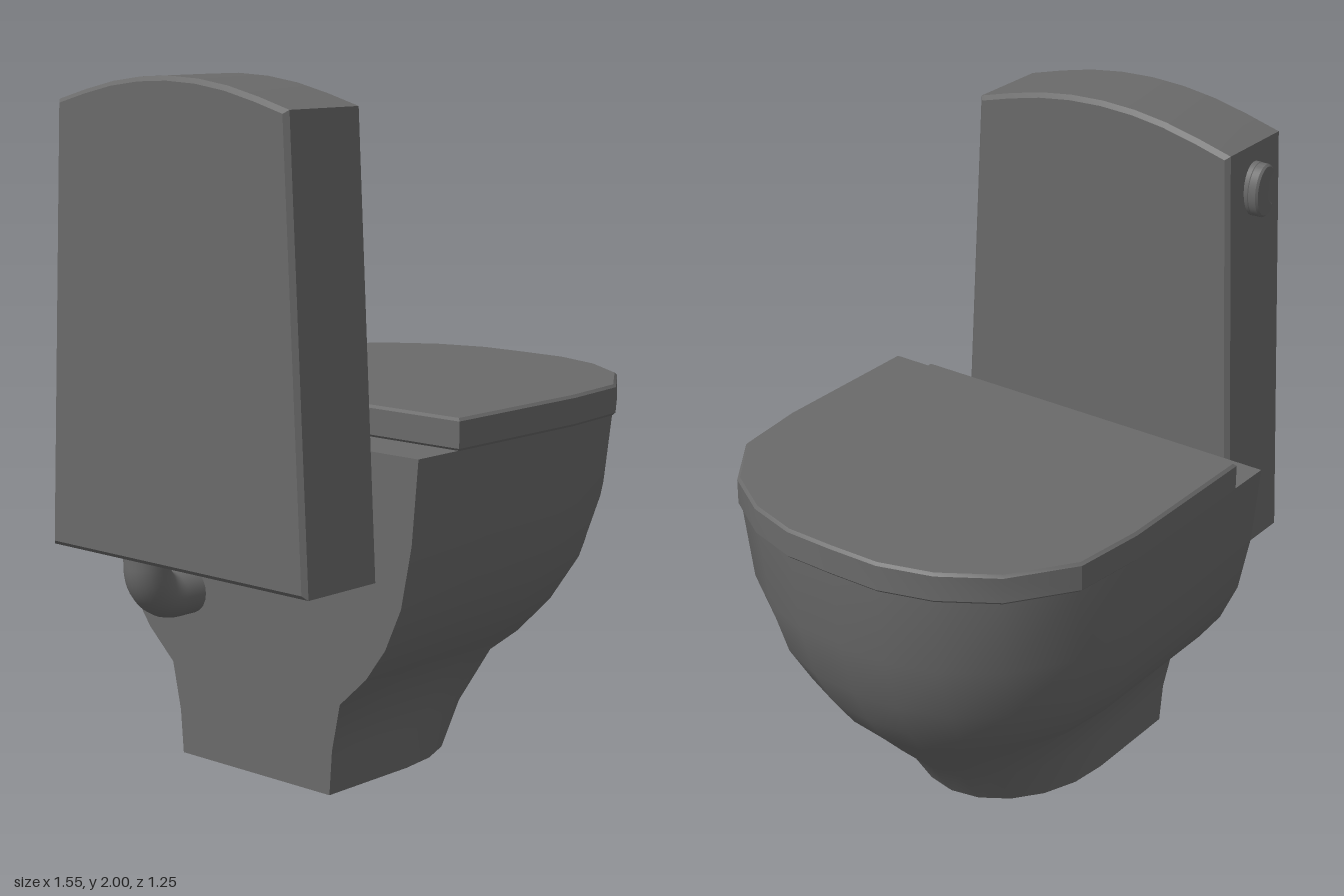
import * as THREE from 'three';
import { toCreasedNormals } from 'three/addons/utils/BufferGeometryUtils.js';

const dark = new THREE.MeshStandardMaterial({ color: 0x6a6a6a });
const darkOpen = new THREE.MeshStandardMaterial({ color: 0x6a6a6a, side: THREE.DoubleSide });

const BACK = -0.46, FRONT = 0.765, HALF = 0.62, BEND = 0.21;
// Half plan of the rim, from the side to the front tip: [x, z]
const CURVE = [[BEND, 0.62], [0.435, 0.595], [0.615, 0.468], [0.715, 0.313], [0.762, 0.155]];

// Full D-shaped plan from the back at -z, round the front, to the back at +z.
// round = 0 keeps the rim curve, round = 1 turns the front into a half ellipse.
function plan(back, round = 0) {
  const start = BEND - 0.1 * round;
  const curve = CURVE.map(([x, z], i) => {
    const a = (i / CURVE.length) * Math.PI / 2;
    const ex = start + (FRONT - start) * Math.sin(a);
    return [x + (ex - x) * round, z + (HALF * Math.cos(a) - z) * round];
  });
  const side = [[back, HALF], [(back + start) / 2, HALF], ...curve];
  return [...side.map(([x, z]) => [x, -z]), [FRONT, 0], ...side.reverse()];
}

// Levels of the bowl body: [y, half width, front x, roundness of the plan]
const LEVELS = [
  [0, 0.293, 0.248, 1], [0.13, 0.303, 0.338, 1], [0.27, 0.333, 0.48, 0.9], [0.36, 0.43, 0.567, 0.7],
  [0.455, 0.5, 0.63, 0.5], [0.58, 0.557, 0.692, 0.3], [0.76, 0.594, 0.743, 0.1], [1.0, 0.617, 0.763, 0],
];

function section([y, w, front, round]) {
  const f = (front - BACK) / (FRONT - BACK);
  return plan(BACK, round).map(([x, z]) => new THREE.Vector3(BACK + (x - BACK) * f, y, z * w / HALF));
}

function addMesh(group, name, geometry, material = dark) {
  const mesh = new THREE.Mesh(geometry, material);
  mesh.name = name;
  group.add(mesh);
}

function bevelled(shape, depth, bevel, crease = 0.5) {
  const geo = new THREE.ExtrudeGeometry(shape, {
    depth: depth - 2 * bevel, bevelSize: bevel, bevelThickness: bevel,
    bevelOffset: -bevel, bevelSegments: 1, curveSegments: 16,
  });
  geo.translate(0, 0, bevel);
  return toCreasedNormals(geo, crease);
}

const shapeOf = (points) => new THREE.Shape(points.map(([x, y]) => new THREE.Vector2(x, y)));

// Curved skin lofted through the levels, open underneath
function bowlSkin() {
  const rows = LEVELS.map(section);
  const n = rows[0].length;
  const index = [];
  for (let r = 0; r < rows.length - 1; r++) {
    for (let i = 0; i < n - 1; i++) {
      const a = r * n + i, b = a + 1, c = a + n, d = c + 1;
      index.push(a, c, b, b, c, d);
    }
  }
  const geo = new THREE.BufferGeometry().setFromPoints(rows.flat());
  geo.setIndex(index);
  geo.computeVertexNormals();
  return geo;
}

export function createModel() {
  const model = new THREE.Group();
  model.name = 'toilet';

  // Bowl: skin, flat back wall and top
  const bowl = new THREE.Group();
  bowl.name = 'bowl';
  model.add(bowl);
  addMesh(bowl, 'bowlBody', bowlSkin(), darkOpen);

  const wall = [...LEVELS.map(([y, w]) => [w, y]), ...LEVELS.map(([y, w]) => [-w, y]).reverse()];
  const backWall = new THREE.ShapeGeometry(shapeOf(wall));
  backWall.rotateY(-Math.PI / 2).translate(BACK, 0, 0);
  addMesh(bowl, 'bowlBack', backWall, darkOpen);

  const rim = section(LEVELS[LEVELS.length - 1]);
  const top = new THREE.ShapeGeometry(shapeOf(rim.map((p) => [p.x, -p.z])));
  top.rotateX(-Math.PI / 2).translate(0, 1.0, 0);
  addMesh(bowl, 'bowlTop', top, darkOpen);

  // Closed lid resting on the rim
  const lid = bevelled(shapeOf(plan(-0.3)), 0.091, 0.008);
  lid.rotateX(-Math.PI / 2).scale(1.008, 1, 1.009).translate(0, 0.999, 0);
  addMesh(model, 'lid', lid);

  // Tapered tank with an arched top
  const tankShape = shapeOf([
    [-0.5, 0.652], [0.5, 0.652], [0.44, 1.925], [0.33, 1.955], [0.22, 1.98], [0.11, 1.995],
    [0, 2.0], [-0.11, 1.995], [-0.22, 1.98], [-0.33, 1.955], [-0.44, 1.925],
  ]);
  const tank = bevelled(tankShape, 0.288, 0.013, 0.3);
  tank.rotateY(Math.PI / 2).translate(-0.775, 0, 0);
  addMesh(model, 'tank', tank);

  // Oval flush button on the tank side, with a raised crescent for the finger
  const oval = new THREE.Shape().absellipse(0, 0, 0.058, 0.081, 0, Math.PI * 2);
  const base = bevelled(oval, 0.04, 0.006);
  base.rotateY(Math.PI).translate(-0.628, 1.793, -0.424);
  addMesh(model, 'flushButtonBase', base);

  const tip = 0.7;
  const crescent = new THREE.Shape().absellipse(0, 0, 0.056, 0.08, tip, Math.PI * 2 - tip);
  crescent.quadraticCurveTo(-0.03, 0, 0.056 * Math.cos(tip), 0.08 * Math.sin(tip));
  const grip = bevelled(crescent, 0.035, 0.006);
  grip.rotateY(Math.PI).translate(-0.628, 1.793, -0.454);
  addMesh(model, 'flushButtonGrip', grip);

  // Bent pipe from the tank to the bowl
  const v = (x, y) => new THREE.Vector3(x, y, -0.26);
  const path = new THREE.CurvePath();
  path.add(new THREE.LineCurve3(v(-0.627, 0.68), v(-0.627, 0.6)));
  path.add(new THREE.CubicBezierCurve3(v(-0.627, 0.6), v(-0.627, 0.545), v(-0.582, 0.5), v(-0.527, 0.5)));
  path.add(new THREE.LineCurve3(v(-0.527, 0.5), v(-0.44, 0.5)));
  addMesh(model, 'pipe', new THREE.TubeGeometry(path, 24, 0.068, 20), darkOpen);

  return model;
}
